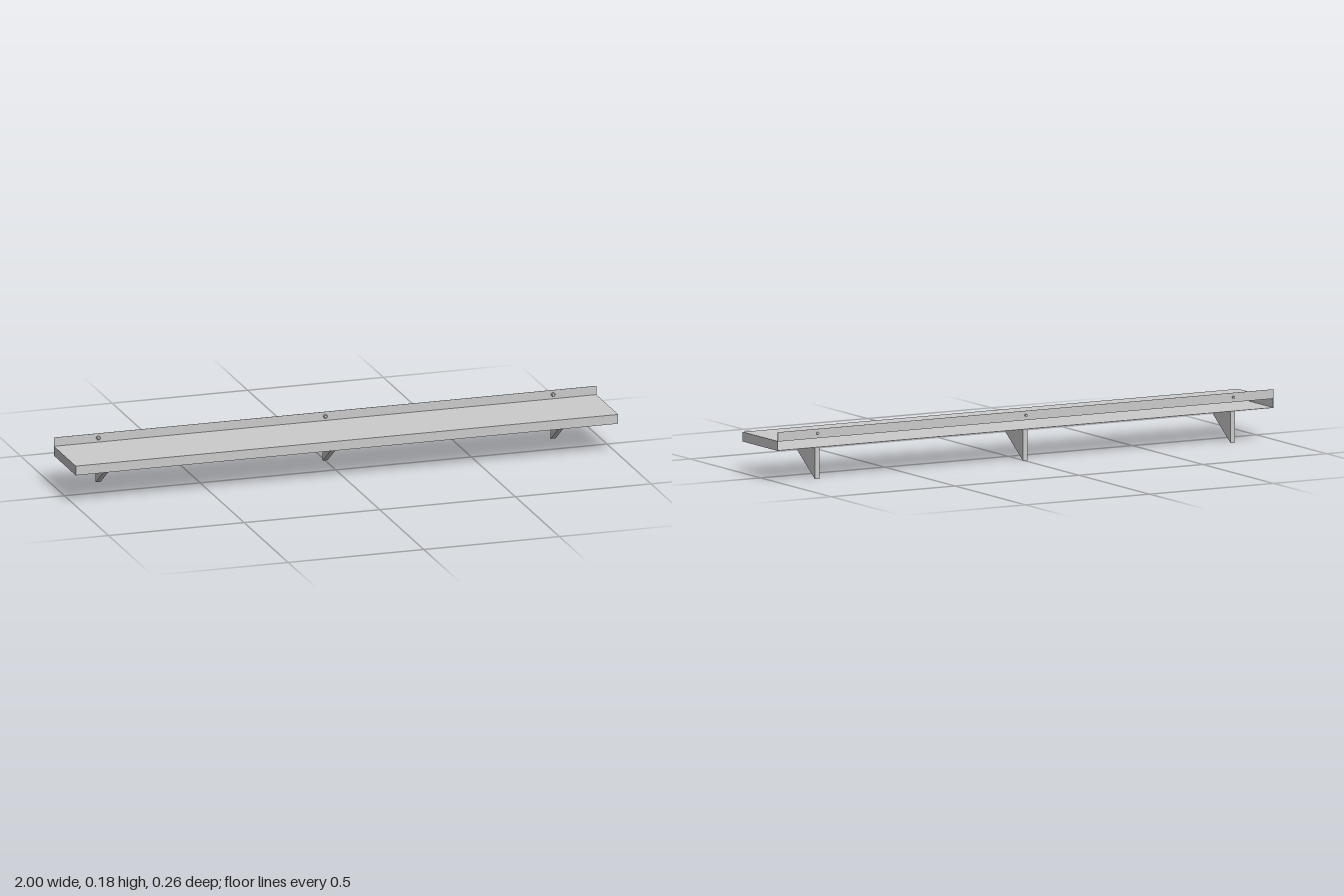
import * as THREE from 'three';

export function createModel() {
  const model = new THREE.Group();
  const material = new THREE.MeshStandardMaterial({ color: 0xcccccc, side: THREE.DoubleSide });

  const T = 0.0012;                       // sheet thickness
  const FRONT = 0.128, BACK = -0.122;     // shelf depth
  const BOTTOM = 0.112, TOP = 0.146, LIP = 0.178;
  const depth = FRONT - BACK, height = TOP - BOTTOM;
  const midZ = (FRONT + BACK) / 2, midY = (TOP + BOTTOM) / 2;

  function add(name, geometry, x = 0, y = 0, z = 0) {
    const mesh = new THREE.Mesh(geometry, material);
    mesh.name = name;
    mesh.position.set(x, y, z);
    model.add(mesh);
    return mesh;
  }

  // Hollow shelf tray, open along the back
  add('topPanel', new THREE.BoxGeometry(2, T, depth), 0, TOP - T / 2, midZ);
  add('bottomPanel', new THREE.BoxGeometry(2, T, depth), 0, BOTTOM + T / 2, midZ);
  add('frontPanel', new THREE.BoxGeometry(2, height - 2 * T, T), 0, midY, FRONT - T / 2);
  for (const side of [-1, 1]) {
    add(side > 0 ? 'leftEndPanel' : 'rightEndPanel',
      new THREE.BoxGeometry(T, height - 2 * T, depth - T), side * (1 - T / 2), midY, midZ - T / 2);
  }

  // Upright wall flange along the back edge
  add('wallFlange', new THREE.BoxGeometry(2, LIP - TOP, T), 0, (LIP + TOP) / 2, BACK + T / 2);

  // Solid triangular bracket: profile in (z, y), extruded along x
  const width = 0.018;
  const profile = new THREE.Shape();
  profile.moveTo(-0.042, BOTTOM);
  profile.lineTo(0.12, BOTTOM);
  profile.lineTo(0.12, 0);
  profile.closePath();
  const bracket = new THREE.ExtrudeGeometry(profile, { depth: width, bevelEnabled: false });
  bracket.translate(0, 0, -width / 2);
  bracket.rotateY(Math.PI / 2);           // profile x becomes -z

  // Screw: chamfered head in front of the flange, shank behind it
  const screw = new THREE.LatheGeometry([
    [0, -0.128], [0.0045, -0.128], [0.0045, -0.121], [0.007, -0.121],
    [0.007, -0.1155], [0.005, -0.1135], [0, -0.1135],
  ].map(([r, z]) => new THREE.Vector2(r, z)), 16).toNonIndexed();
  screw.computeVertexNormals();
  screw.rotateX(Math.PI / 2);

  for (const x of [-0.837, 0, 0.84]) {
    add('bracket', bracket, x);
    add('screw', screw, x, 0.162);
  }
  return model;
}
